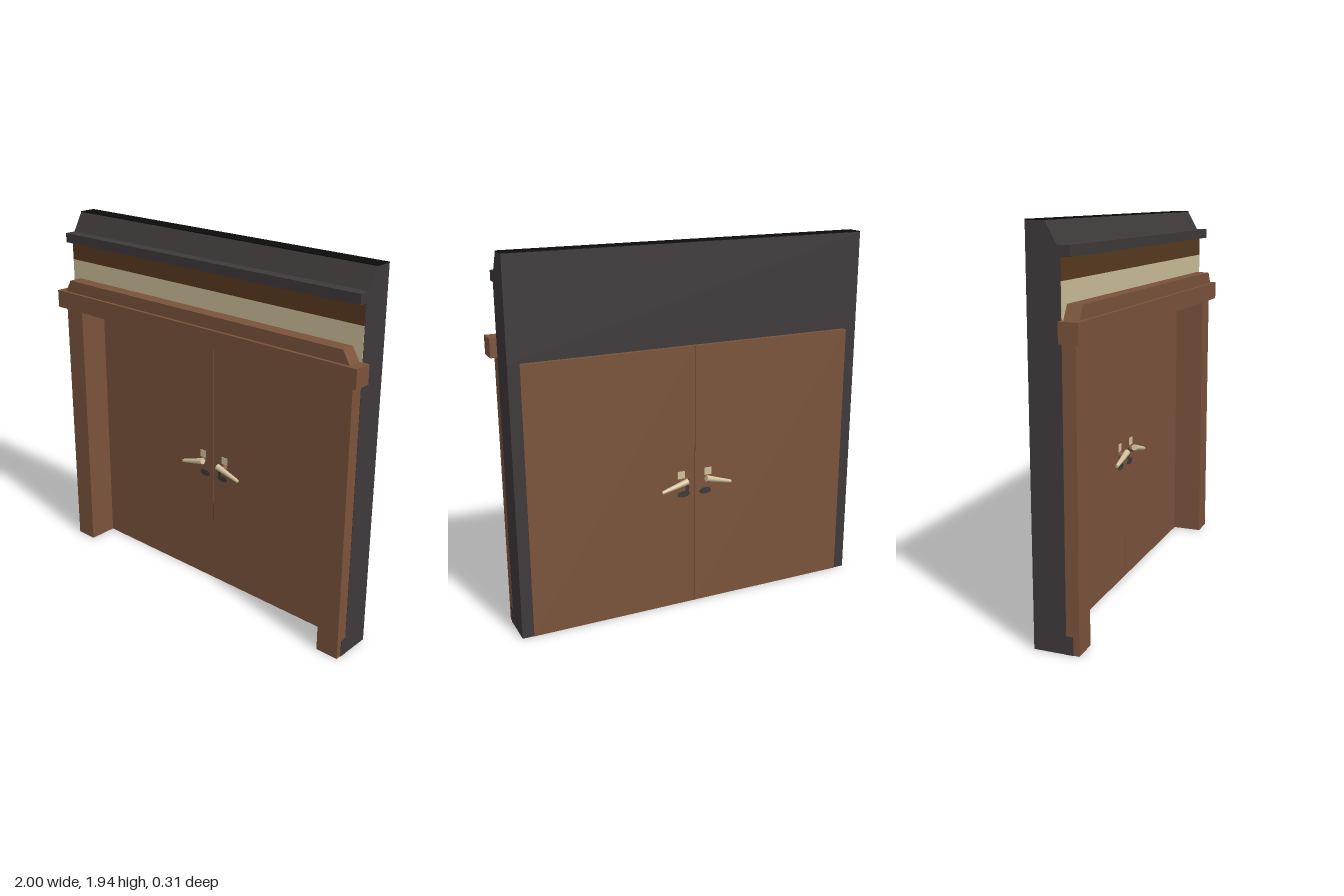
import * as THREE from 'three';

const mat = (name, color, extra = {}) => Object.assign(new THREE.MeshStandardMaterial({ color, ...extra }), { name });

export function createModel() {
  const wood = mat('brown wood', 0x7a533b);
  const stone = mat('dark frame', 0x3f393a);
  const black = mat('black top', 0x0c0b0b);
  const cream = mat('cream plaster', 0xcbbd98);
  const brass = mat('pale brass', 0xd2c09a);
  const shade = mat('deep brown', 0x58391f);

  const root = new THREE.Group();
  root.name = 'doubleDoor';

  // Box given by its limits on each axis
  const box = (name, m, x0, x1, y0, y1, z0, z1, parent = root) => {
    const mesh = new THREE.Mesh(new THREE.BoxGeometry(x1 - x0, y1 - y0, z1 - z0), m);
    mesh.position.set((x0 + x1) / 2, (y0 + y1) / 2, (z0 + z1) / 2);
    mesh.name = name;
    parent.add(mesh);
    return mesh;
  };
  const mirrored = (name, m, x0, x1, ...rest) => {
    box(name + 'Left', m, x0, x1, ...rest);
    box(name + 'Right', m, -x1, -x0, ...rest);
  };

  // Header: (z, y) profile with sloped coping and ledge, extruded along x
  const profile = new THREE.Shape([
    [-0.106, 1.425], [0.055, 1.425], [0.055, 1.785], [0.1, 1.785],
    [0.1, 1.835], [0.04, 1.835], [-0.015, 1.935], [-0.106, 1.935],
  ].map(([z, y]) => new THREE.Vector2(-z, y)));
  const headerGeo = new THREE.ExtrudeGeometry(profile, { depth: 1.93, bevelEnabled: false });
  headerGeo.translate(0, 0, -0.965).rotateY(Math.PI / 2);
  const header = new THREE.Mesh(headerGeo, stone);
  header.name = 'header';
  root.add(header);
  box('headerTop', black, -0.965, 0.965, 1.935, 1.939, -0.106, -0.015);

  // Painted bands above the lintel
  box('creamBand', cream, -0.963, 0.963, 1.5, 1.685, 0.053, 0.058);
  box('brownBand', shade, -0.963, 0.963, 1.685, 1.785, 0.053, 0.058);

  // Side posts, wooden reveals, jambs and plinths
  mirrored('post', stone, 0.905, 0.965, 0, 1.425, -0.106, 0.055);
  mirrored('reveal', wood, 0.84, 0.905, 0, 1.42, -0.04, 0.055);
  mirrored('jamb', wood, 0.84, 0.963, 0, 1.425, 0.055, 0.12);
  mirrored('plinth', stone, 0.95, 0.966, 0, 0.09, 0.055, 0.09);
  box('soffit', wood, -0.84, 0.84, 1.42, 1.425, -0.04, 0.055);

  // Lintel with a tapered cap
  box('lintel', wood, -1, 1, 1.425, 1.52, 0.055, 0.15);
  const capShape = new THREE.Shape([[-0.95, 1.52], [0.95, 1.52], [0.91, 1.585], [-0.91, 1.585]]
    .map(([x, y]) => new THREE.Vector2(x, y)));
  const cap = new THREE.Mesh(new THREE.ExtrudeGeometry(capShape, { depth: 0.077, bevelEnabled: false }), wood);
  cap.position.z = 0.055;
  cap.name = 'lintelCap';
  root.add(cap);

  // Door leaves with a narrow seam
  mirrored('doorLeaf', wood, 0.0015, 0.905, 0, 1.42, -0.109, -0.04);
  box('doorSeam', shade, -0.0015, 0.0015, 0, 1.42, -0.106, -0.043);

  // Lever handles, one per leaf on both faces
  const rod = (name, m, a, b, r0, r1, parent) => {
    const dir = b.clone().sub(a);
    const mesh = new THREE.Mesh(new THREE.CylinderGeometry(r1, r0, dir.length(), 10), m);
    mesh.position.copy(a).add(b).multiplyScalar(0.5);
    mesh.quaternion.setFromUnitVectors(new THREE.Vector3(0, 1, 0), dir.normalize());
    mesh.name = name;
    parent.add(mesh);
  };
  for (const face of [1, -1]) {
    const z = face > 0 ? -0.04 : -0.109;
    for (const side of [1, -1]) {
      const handle = new THREE.Group();
      handle.name = 'handle' + (face > 0 ? 'Front' : 'Back') + (side > 0 ? 'Left' : 'Right');
      handle.position.set(side > 0 ? 0.01 : -0.005, 0, z);
      const v = (x, y, d) => new THREE.Vector3(side * x, y, face * d);
      rod('stem', wood, v(0.07, 0.7, 0), v(0.07, 0.7, 0.036), 0.02, 0.013, handle);
      rod('lever', brass, v(0.045, 0.712, 0.032), v(0.19, 0.672, 0.032), 0.017, 0.009, handle);
      // Escutcheon: pale top tab and dark rounded foot
      const tab = side * 0.07;
      box('plateTab', brass, tab - 0.02, tab + 0.02, 0.72, 0.76, -0.003, 0.003, handle);
      const foot = new THREE.Mesh(new THREE.CylinderGeometry(0.035, 0.035, 0.006, 16, 1, false, 0, Math.PI * 2), stone);
      foot.rotation.x = Math.PI / 2;
      foot.scale.z = 0.5;
      foot.position.set(side * 0.055, 0.632, 0);
      foot.name = 'plateFoot';
      handle.add(foot);
      if (side > 0) box('plateEdge', stone, 0.026, 0.045, 0.63, 0.71, -0.003, 0.003, handle);
      root.add(handle);
    }
  }

  return root;
}
